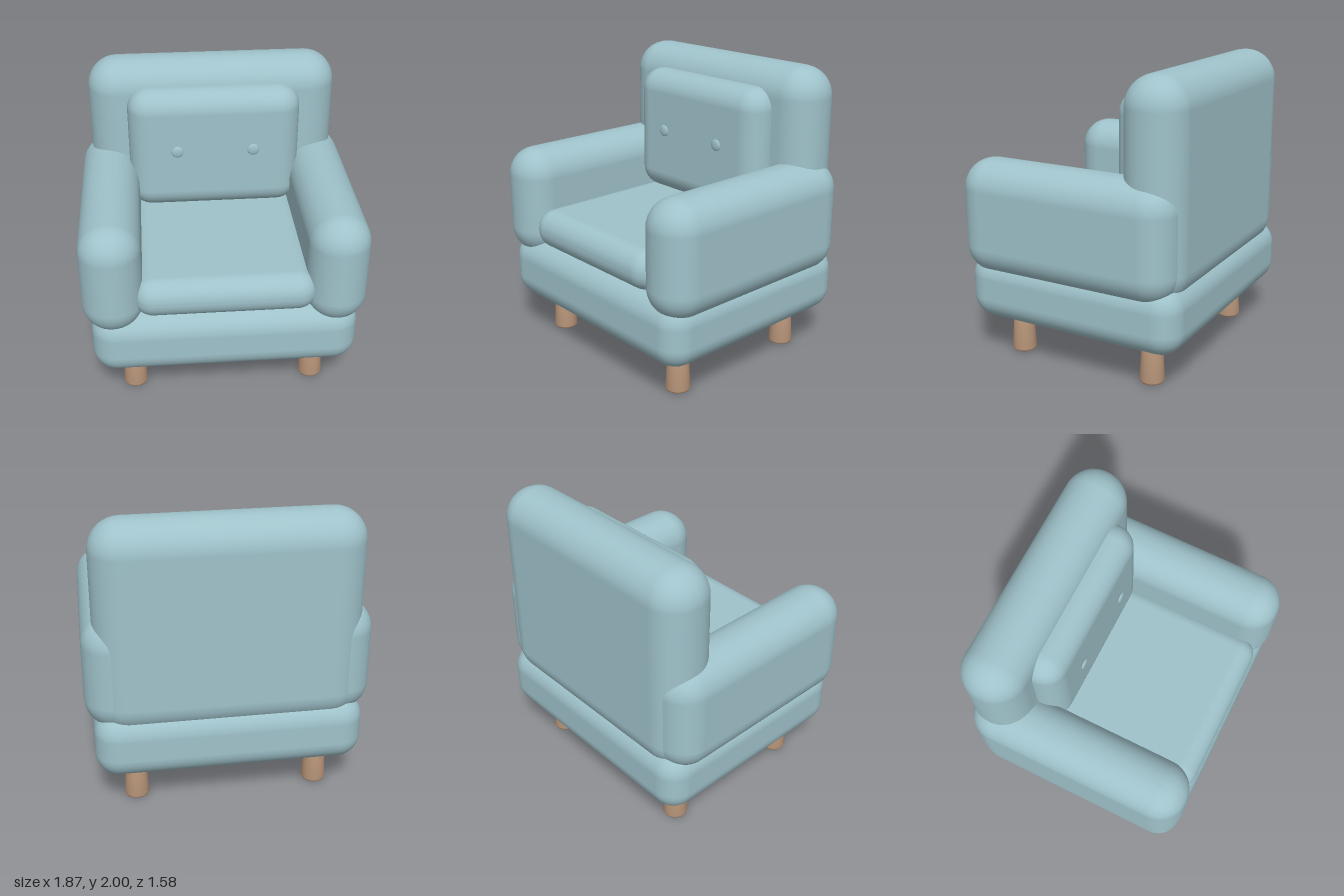
import * as THREE from 'three';
import { RoundedBoxGeometry } from 'three/addons/geometries/RoundedBoxGeometry.js';

const fabric = new THREE.MeshStandardMaterial({ color: 0x9fc2ca });
fabric.name = 'blue fabric';
const wood = new THREE.MeshStandardMaterial({ color: 0xb39176 });
wood.name = 'wood';

// Upholstered block given by its extents on each axis and its edge radius
function pad(name, [x0, x1], [y0, y1], [z0, z1], radius) {
  const geometry = new RoundedBoxGeometry(x1 - x0, y1 - y0, z1 - z0, 5, radius);
  const mesh = new THREE.Mesh(geometry, fabric);
  mesh.position.set((x0 + x1) / 2, (y0 + y1) / 2, (z0 + z1) / 2);
  mesh.name = name;
  return mesh;
}

export function createModel() {
  const chair = new THREE.Group();
  chair.name = 'armchair';

  // Base, backrest and loose cushions
  chair.add(
    pad('base', [-0.885, 0.885], [0.27, 0.73], [-0.79, 0.77], 0.16),
    pad('backrest', [-0.86, 0.86], [0.58, 2.0], [-0.775, -0.355], 0.205),
    pad('seatCushion', [-0.6, 0.6], [0.71, 0.98], [-0.5, 0.76], 0.13),
    pad('backCushion', [-0.595, 0.595], [0.97, 1.855], [-0.51, -0.195], 0.15),
  );

  // Arms
  chair.add(
    pad('leftArm', [0.535, 0.935], [0.6, 1.375], [-0.75, 0.79], 0.195),
    pad('rightArm', [-0.935, -0.535], [0.6, 1.375], [-0.75, 0.79], 0.195),
  );

  // Cushion buttons: flattened spheres
  const buttonGeometry = new THREE.SphereGeometry(0.041, 24, 16);
  for (const side of [1, -1]) {
    const button = new THREE.Mesh(buttonGeometry, fabric);
    button.name = side > 0 ? 'leftButton' : 'rightButton';
    button.scale.z = 0.32;
    button.position.set(side * 0.262, 1.445, -0.178);
    chair.add(button);
  }

  // Tapered legs, wider at the floor with a softened foot
  const legProfile = [
    [0, 0], [0.072, 0], [0.079, 0.004], [0.083, 0.016], [0.066, 0.3], [0, 0.3],
  ].map(([r, y]) => new THREE.Vector2(r, y));
  const legGeometry = new THREE.LatheGeometry(legProfile, 28);
  for (const x of [-0.618, 0.618]) {
    for (const z of [-0.513, 0.49]) {
      const leg = new THREE.Mesh(legGeometry, wood);
      leg.name = (z > 0 ? 'front' : 'back') + (x > 0 ? 'Left' : 'Right') + 'Leg';
      leg.position.set(x, 0, z);
      chair.add(leg);
    }
  }

  return chair;
}
